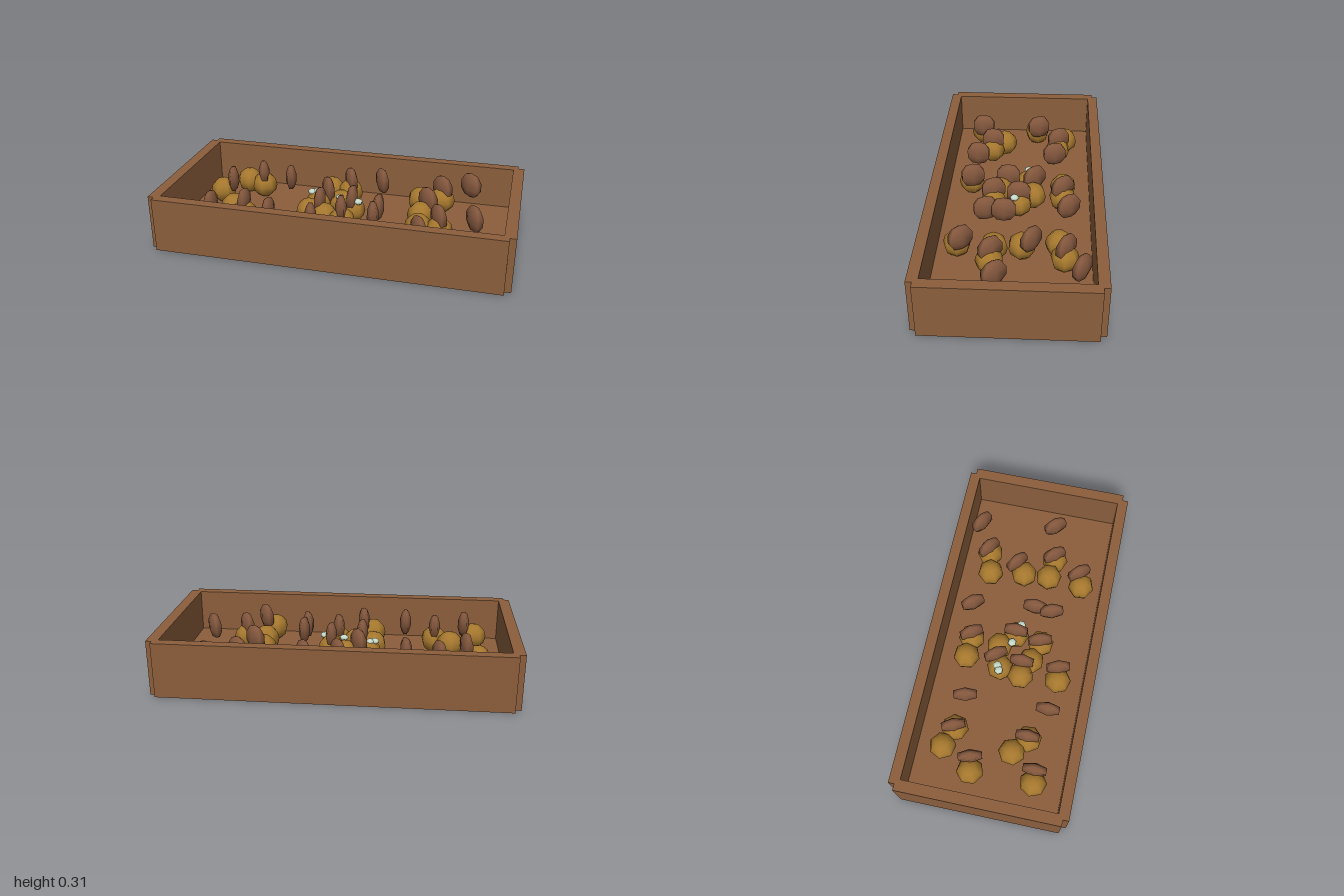
import * as THREE from 'three';

const material = (name, color) => {
  const m = new THREE.MeshStandardMaterial({ color });
  m.name = name;
  return m;
};

export function createModel() {
  const group = new THREE.Group();
  const wood = material('wood', 0x8b5e3c);
  const gold = material('gold', 0xa6782e);
  const brown = material('brown', 0x85583e);
  const pale = material('paleGreen', 0xc8dccb);

  const add = (name, geometry, mat, x, y, z, turn = 0) => {
    const mesh = new THREE.Mesh(geometry, mat);
    mesh.name = name;
    mesh.position.set(x, y, z);
    mesh.rotation.y = turn;
    group.add(mesh);
  };

  // Crate walls: notched-corner outline with a rectangular opening
  const height = 0.313, floorTop = 0.065;
  const innerX = 0.937, innerZ = 0.425;
  const X = 1, Z = 0.485, nx = 0.965, nz = 0.452;
  const points = (list) => list.map(([x, z]) => new THREE.Vector2(x, z));
  const outline = new THREE.Shape(points([
    [-nx, -Z], [nx, -Z], [nx, -nz], [X, -nz], [X, nz], [nx, nz],
    [nx, Z], [-nx, Z], [-nx, nz], [-X, nz], [-X, -nz], [-nx, -nz],
  ]));
  outline.holes.push(new THREE.Path(points([
    [-innerX, -innerZ], [-innerX, innerZ], [innerX, innerZ], [innerX, -innerZ],
  ])));
  const walls = new THREE.ExtrudeGeometry(outline, { depth: height, bevelEnabled: false });
  walls.rotateX(-Math.PI / 2);
  add('crateWalls', walls, wood, 0, 0, 0);
  add('crateFloor', new THREE.BoxGeometry(innerX * 2, floorTop, innerZ * 2), wood, 0, floorTop / 2, 0);

  // Round golden pieces resting on the floor: x, z
  const ball = new THREE.SphereGeometry(0.077, 7, 6);
  [
    [-0.68, -0.275], [-0.565, -0.23], [-0.785, -0.095], [-0.635, 0.11], [-0.545, 0.185], [-0.78, 0.26],
    [-0.135, -0.265], [-0.02, -0.26], [-0.165, -0.06], [-0.035, -0.09], [0.05, -0.01],
    [-0.19, 0.065], [-0.09, 0.105], [0.025, 0.14], [-0.175, 0.28],
    [0.415, -0.245], [0.54, -0.275], [0.445, -0.045], [0.455, 0.105], [0.575, 0.12], [0.435, 0.305],
  ].forEach(([x, z], i) => add('roundPiece', ball, gold, x, 0.14, z, i * 0.7));

  // Flat brown pieces standing on edge: x, z, turn in degrees
  const disc = new THREE.SphereGeometry(0.08, 6, 5);
  disc.scale(0.43, 0.98, 1);
  [
    [-0.57, -0.235, 22], [-0.385, -0.21, 13], [-0.72, -0.105, 16],
    [-0.545, 0.18, 0], [-0.72, 0.255, 0], [-0.372, 0.26, 0],
    [-0.015, -0.26, 32], [0.17, -0.295, 33], [-0.115, -0.095, 33],
    [0.05, -0.01, 0], [-0.125, 0.06, 0], [0.22, 0.067, 0],
    [0.02, 0.137, 15], [0.21, 0.168, 15], [-0.12, 0.27, 15],
    [0.54, -0.28, 50], [0.7, -0.36, 53], [0.48, -0.095, 48],
    [0.57, 0.115, 35], [0.763, 0.083, 35], [0.485, 0.28, 35],
  ].forEach(([x, z, a]) => add('flatPiece', disc, brown, x, 0.215, z, THREE.MathUtils.degToRad(a)));

  // Small pale beads lying on the middle pile
  const bead = new THREE.SphereGeometry(0.026, 6, 5);
  bead.scale(1, 0.65, 1);
  [[-0.205, -0.058], [-0.178, -0.07], [-0.025, -0.018], [0.092, 0.013]]
    .forEach(([x, z], i) => add('bead', bead, pale, x, 0.207, z, i * 0.5));

  return group;
}
